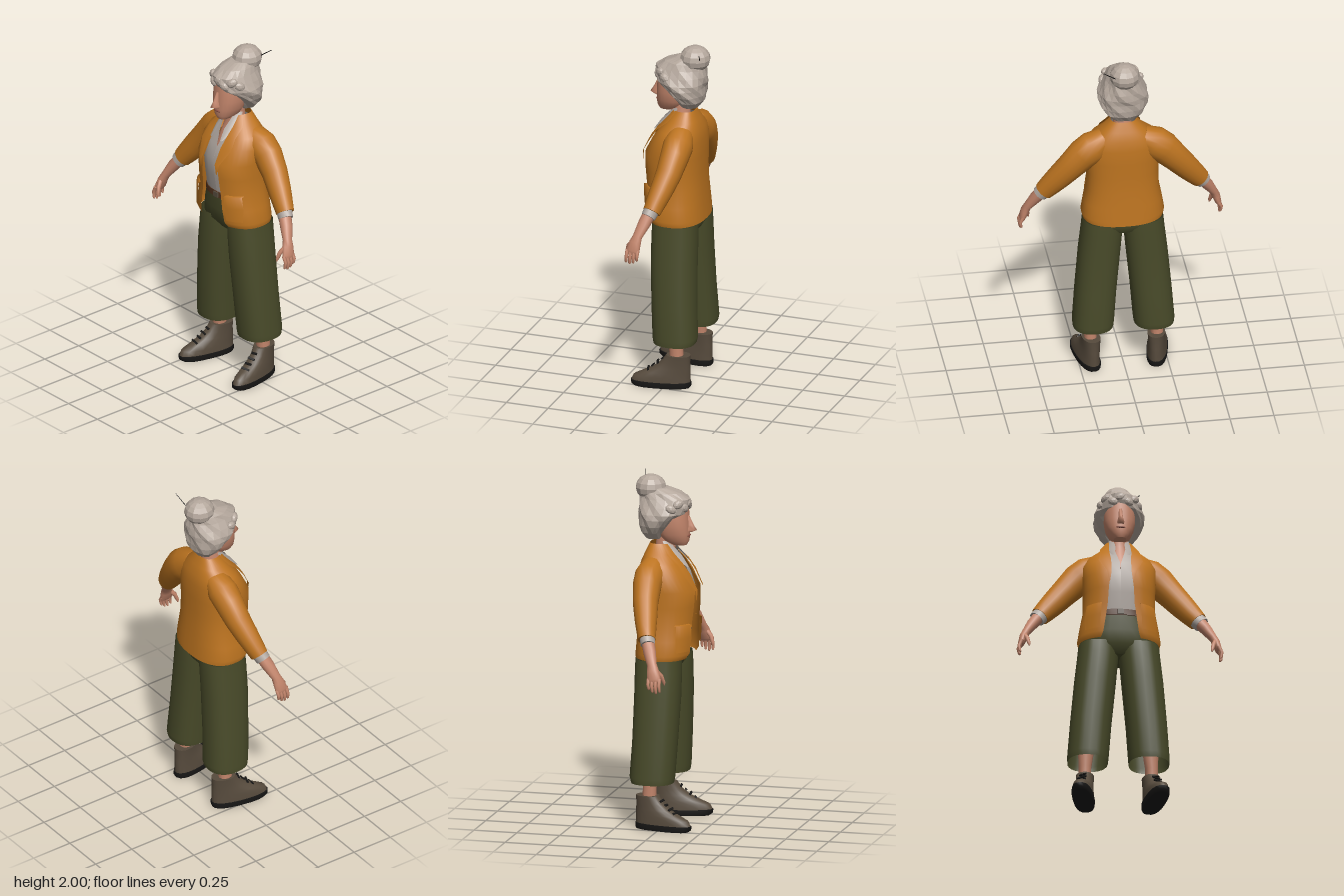
import * as THREE from 'three';

const paint = (name, color, open) => {
  const m = new THREE.MeshStandardMaterial({ color });
  m.name = name;
  if (open) m.side = THREE.DoubleSide;
  return m;
};

// Joins rings of points into a surface; caps close the ends with a crisp edge
function surface(rings, closed, caps) {
  if (caps) {
    const fan = (r) => {
      const c = r.reduce((s, p) => s.add(p), new THREE.Vector3()).divideScalar(r.length);
      return r.map(() => c.clone());
    };
    const first = rings[0], last = rings[rings.length - 1];
    rings = [fan(first), first, ...rings, last, fan(last)];
  }
  const n = rings[0].length, pos = [], idx = [];
  rings.forEach((r) => r.forEach((p) => pos.push(p.x, p.y, p.z)));
  for (let i = 0; i < rings.length - 1; i++) {
    for (let j = 0; j < (closed ? n : n - 1); j++) {
      const a = i * n + j, b = i * n + (j + 1) % n;
      idx.push(a, b, a + n, b, b + n, a + n);
    }
  }
  const g = new THREE.BufferGeometry();
  g.setAttribute('position', new THREE.Float32BufferAttribute(pos, 3));
  g.setIndex(idx);
  g.computeVertexNormals();
  return g;
}

// Horizontal sections, bottom to top: [y, cx, cz, rx, zFront, zBack, gap, gapEnd]
// gap opens the front; gap and gapEnd together give a patch on one side
function loft(rows, { n = 24, p = 0.9, caps = true, side = 1, lump = 0 } = {}) {
  const open = rows[0][6] !== undefined;
  const rings = rows.map(([y, cx, cz, rx, zf, zb, g0, g1]) => {
    const ang = (g) => Math.asin(Math.min(1, g / rx) ** (1 / p));
    let a0 = 0, a1 = Math.PI * 2;
    if (g1 !== undefined) [a0, a1] = side > 0 ? [ang(g0), ang(g1)] : [-ang(g1), -ang(g0)];
    else if (open) [a0, a1] = [ang(g0), Math.PI * 2 - ang(g0)];
    return Array.from({ length: open ? n + 1 : n }, (_, j) => {
      const a = a0 + (a1 - a0) * j / n, s = Math.sin(a), c = Math.cos(a);
      const k = 1 + lump * Math.sin(a * 7 + y * 55);
      return new THREE.Vector3(
        cx + k * rx * Math.sign(s) * Math.abs(s) ** p, y,
        cz + k * (c > 0 ? zf - cz : cz - zb) * Math.sign(c) * Math.abs(c) ** p);
    });
  });
  return surface(rings, !open, caps && !open);
}

// Tube along a path: [x, y, z, radius across, radius in z]
function sweep(path, side = 1, n = 12, caps = true) {
  const pts = path.map(([x, y, z]) => new THREE.Vector3(x * side, y, z));
  const rings = path.map(([, , , r, rz = r], i) => {
    const t = pts[Math.min(i + 1, pts.length - 1)].clone().sub(pts[Math.max(i - 1, 0)]).normalize();
    const e1 = new THREE.Vector3(0, 0, 1).addScaledVector(t, -t.z).normalize();
    const e2 = t.clone().cross(e1);
    return Array.from({ length: n }, (_, j) => {
      const a = j / n * Math.PI * 2;
      return pts[i].clone().addScaledVector(e1, Math.cos(a) * rz).addScaledVector(e2, Math.sin(a) * r);
    });
  });
  return surface(rings, true, caps);
}

const faceted = (g) => {
  const f = g.index ? g.toNonIndexed() : g;
  f.computeVertexNormals();
  return f;
};

export function createModel() {
  const root = new THREE.Group();
  root.name = 'woman';
  const skin = paint('skin', 0xc4866c), hair = paint('hair', 0xb5a89d);
  const jacket = paint('jacket', 0xbd7420, true), shirt = paint('shirt', 0xb0a7a0, true);
  const trousers = paint('trousers', 0x484a29, true), leather = paint('shoe leather', 0x574b3d);
  const rubber = paint('sole rubber', 0x191817), belt = paint('belt', 0x55351f);
  const lips = paint('lips', 0x8a4f42);
  const add = (name, geo, mat, parent = root) => {
    const m = new THREE.Mesh(geo, mat);
    m.name = name;
    parent.add(m);
    return m;
  };

  // Head and neck
  add('head', loft([
    [1.605, 0, 0.06, 0.035, 0.105, 0.02], [1.63, 0, 0.03, 0.06, 0.118, -0.03],
    [1.67, 0, 0.02, 0.078, 0.12, -0.06], [1.72, 0, 0.02, 0.088, 0.118, -0.08],
    [1.78, 0, 0.01, 0.09, 0.115, -0.09], [1.85, 0, 0.01, 0.083, 0.11, -0.09]]), skin);
  add('nose', loft([
    [1.68, 0, 0.1, 0.02, 0.135, 0.09], [1.692, 0, 0.1, 0.021, 0.164, 0.09],
    [1.72, 0, 0.1, 0.014, 0.145, 0.09], [1.775, 0, 0.1, 0.012, 0.118, 0.09]], { n: 10 }), skin);
  add('mouth', new THREE.SphereGeometry(1, 12, 6).scale(0.027, 0.006, 0.008).translate(0, 1.66, 0.117), lips);
  add('neck', loft([
    [1.42, 0, -0.01, 0.09, 0.1, -0.1], [1.52, 0, -0.03, 0.065, 0.06, -0.1],
    [1.58, 0, -0.02, 0.05, 0.035, -0.075], [1.66, 0, -0.01, 0.05, 0.045, -0.07]]), skin);

  // Hair swept up into a bun
  add('hair', faceted(loft([
    [1.64, 0, -0.08, 0.07, -0.03, -0.13], [1.68, 0, -0.08, 0.108, -0.005, -0.158],
    [1.72, 0, -0.06, 0.132, 0.025, -0.165], [1.76, 0, -0.04, 0.143, 0.06, -0.165],
    [1.79, 0, -0.03, 0.14, 0.105, -0.172], [1.83, 0, -0.02, 0.12, 0.122, -0.172],
    [1.87, 0, -0.02, 0.098, 0.122, -0.165], [1.905, 0, -0.04, 0.082, 0.07, -0.16],
    [1.93, 0, -0.07, 0.06, 0.0, -0.14]], { n: 22, lump: 0.035 })), hair);
  for (let i = 0; i < 7; i++) {
    const a = (i - 3) * 0.4;
    const curl = add('hairCurl', faceted(new THREE.IcosahedronGeometry(1, 1).scale(0.034, 0.026, 0.022)), hair);
    curl.position.set(Math.sin(a) * 0.113, 1.825 + (i % 2) * 0.025, Math.cos(a) * 0.108);
    curl.rotation.set(0, a, (i % 2 ? 0.5 : -0.5));
  }
  add('bun', faceted(new THREE.SphereGeometry(1, 12, 8).scale(0.085, 0.075, 0.088).translate(0, 1.925, -0.105)), hair);
  add('hairPin', sweep([[-0.02, 1.88, -0.13, 0.004], [0.13, 1.995, -0.175, 0.002]], 1, 6), rubber);

  // Shirt with an open neck, belt and hips
  add('shirt', loft([
    [1.12, 0, -0.02, 0.175, 0.115, -0.14, 0], [1.25, 0, -0.02, 0.18, 0.135, -0.14, 0],
    [1.36, 0, -0.02, 0.185, 0.145, -0.14, 0], [1.44, 0, -0.02, 0.18, 0.115, -0.14, 0.003],
    [1.51, 0, -0.04, 0.14, 0.08, -0.13, 0.022], [1.57, 0, -0.05, 0.09, 0.045, -0.11, 0.035]]), shirt);
  add('belt', loft([
    [1.115, 0, -0.02, 0.183, 0.124, -0.15], [1.15, 0, -0.02, 0.18, 0.124, -0.15]]), belt);
  add('buckle', new THREE.BoxGeometry(0.035, 0.03, 0.009).translate(0, 1.132, 0.126), leather);
  add('hips', loft([
    [0.9, 0, -0.03, 0.19, 0.06, -0.13], [0.95, 0, -0.03, 0.228, 0.1, -0.16],
    [1.03, 0, -0.02, 0.208, 0.112, -0.16], [1.12, 0, -0.02, 0.18, 0.118, -0.145]]), trousers);

  // Open jacket
  add('jacket', loft([
    [0.97, 0, -0.02, 0.228, 0.14, -0.178, 0.112], [1.0, 0, -0.02, 0.235, 0.158, -0.176, 0.1],
    [1.08, 0, -0.02, 0.222, 0.163, -0.17, 0.088], [1.17, 0, -0.02, 0.205, 0.162, -0.164, 0.076],
    [1.27, 0, -0.02, 0.203, 0.172, -0.16, 0.07], [1.36, 0, -0.02, 0.208, 0.172, -0.162, 0.058],
    [1.45, 0, -0.03, 0.208, 0.125, -0.16, 0.058], [1.51, 0, -0.04, 0.178, 0.085, -0.15, 0.065],
    [1.56, 0, -0.05, 0.118, 0.045, -0.13, 0.065], [1.615, 0, -0.05, 0.072, 0.015, -0.105, 0.058]],
  { n: 36, p: 0.85 }), jacket);

  for (const s of [1, -1]) {
    const sideName = s > 0 ? 'left' : 'right';
    const group = new THREE.Group();
    group.name = sideName + 'Side';
    root.add(group);
    const put = (name, geo, mat) => add(sideName + name, geo, mat, group);

    // Lapel, shirt collar and pocket
    put('Lapel', loft([
      [1.3, 0, -0.02, 0.215, 0.185, -0.16, 0.064, 0.07], [1.36, 0, -0.02, 0.218, 0.186, -0.16, 0.056, 0.085],
      [1.45, 0, -0.03, 0.218, 0.142, -0.16, 0.056, 0.125], [1.51, 0, -0.04, 0.188, 0.102, -0.15, 0.062, 0.115],
      [1.56, 0, -0.05, 0.13, 0.06, -0.13, 0.062, 0.108], [1.615, 0, -0.05, 0.08, 0.022, -0.105, 0.056, 0.075]],
    { n: 5, p: 0.85, side: s }), jacket);
    put('ShirtCollar', loft([
      [1.485, 0, -0.03, 0.14, 0.13, -0.12, 0.036, 0.05], [1.545, 0, -0.04, 0.1, 0.088, -0.11, 0.026, 0.075],
      [1.59, 0, -0.04, 0.075, 0.045, -0.1, 0.028, 0.07], [1.63, 0, -0.04, 0.06, 0.02, -0.09, 0.035, 0.058]],
    { n: 5, side: s }), shirt);
    put('Pocket', loft([
      [1.02, 0, -0.02, 0.236, 0.168, -0.17, 0.12, 0.2], [1.1, 0, -0.02, 0.228, 0.176, -0.17, 0.115, 0.2],
      [1.17, 0, -0.02, 0.217, 0.18, -0.16, 0.11, 0.19], [1.175, 0, -0.02, 0.203, 0.16, -0.16, 0.11, 0.185]],
    { n: 6, p: 0.85, side: s }), jacket);

    // Sleeve, shirt cuff and forearm
    put('Sleeve', sweep([
      [0.1, 1.5, -0.06, 0.06, 0.07], [0.17, 1.45, -0.065, 0.095, 0.085], [0.23, 1.405, -0.065, 0.092, 0.08],
      [0.3, 1.325, -0.055, 0.08, 0.072], [0.365, 1.245, -0.035, 0.072, 0.064],
      [0.41, 1.19, -0.02, 0.064, 0.056], [0.445, 1.147, -0.008, 0.056, 0.05]], s, 16), jacket);
    put('ShirtCuff', sweep([
      [0.43, 1.165, -0.01, 0.05, 0.045], [0.465, 1.122, 0.005, 0.046, 0.041]], s, 14), shirt);
    put('Forearm', sweep([
      [0.44, 1.155, -0.005, 0.038, 0.038], [0.49, 1.085, 0.022, 0.033, 0.036],
      [0.528, 1.022, 0.046, 0.023, 0.028], [0.542, 0.99, 0.055, 0.024, 0.035],
      [0.556, 0.945, 0.064, 0.019, 0.04], [0.56, 0.93, 0.066, 0.012, 0.036]], s), skin);
    // Fingers and thumb
    for (let i = 0; i < 4; i++) {
      const z = 0.034 + i * 0.021, len = [0.045, 0.06, 0.066, 0.058][i];
      put('Finger', sweep([
        [0.555, 0.95, z, 0.011], [0.572, 0.942 - len * 0.5, z, 0.01],
        [0.568, 0.94 - len, z + 0.003, 0.008], [0.563, 0.932 - len, z + 0.004, 0.004]], s, 8), skin);
    }
    put('Thumb', sweep([
      [0.538, 0.99, 0.075, 0.014], [0.526, 0.96, 0.1, 0.013],
      [0.518, 0.925, 0.112, 0.01], [0.515, 0.908, 0.115, 0.004]], s, 8), skin);

    // Wide trouser leg and ankle
    put('TrouserLeg', loft([
      [0.265, s * 0.173, -0.05, 0.114, 0.072, -0.168], [0.3, s * 0.172, -0.05, 0.117, 0.078, -0.176],
      [0.5, s * 0.157, -0.04, 0.117, 0.09, -0.165], [0.75, s * 0.134, -0.03, 0.118, 0.102, -0.16],
      [0.9, s * 0.119, -0.03, 0.116, 0.103, -0.16], [0.97, s * 0.114, -0.03, 0.114, 0.1, -0.158]],
    { caps: false, p: 0.85 }), trousers);
    put('Ankle', loft([
      [0.14, s * 0.19, -0.065, 0.036, -0.025, -0.105], [0.24, s * 0.188, -0.06, 0.036, -0.02, -0.1],
      [0.45, s * 0.175, -0.05, 0.055, 0.005, -0.11]], { n: 12 }), skin);

    // Shoe turned slightly outward
    const shoe = new THREE.Group();
    shoe.name = sideName + 'Shoe';
    shoe.position.set(s * 0.188, 0, -0.06);
    shoe.rotation.y = s * 0.2;
    group.add(shoe);
    add('sole', loft([
      [0, 0, 0.07, 0.056, 0.24, -0.08], [0.012, 0, 0.07, 0.06, 0.256, -0.086],
      [0.034, 0, 0.07, 0.06, 0.258, -0.086]], { n: 20, p: 0.8 }), rubber, shoe);
    add('upper', loft([
      [0.034, 0, 0.07, 0.057, 0.254, -0.083], [0.062, 0, 0.07, 0.056, 0.24, -0.083],
      [0.088, 0, 0.05, 0.053, 0.185, -0.083], [0.115, 0, 0.02, 0.05, 0.13, -0.082],
      [0.15, 0, 0, 0.048, 0.085, -0.08], [0.192, 0, -0.01, 0.05, 0.055, -0.082]], { n: 20 }), leather, shoe);
    for (let i = 0; i < 4; i++) {
      const lace = add('lace', new THREE.BoxGeometry(0.05 - i * 0.004, 0.008, 0.012), rubber, shoe);
      lace.position.set(0, 0.1 + i * 0.022, 0.158 - i * 0.027);
      lace.rotation.set(0.7, 0, i % 2 ? 0.15 : -0.15);
    }
  }
  return root;
}
